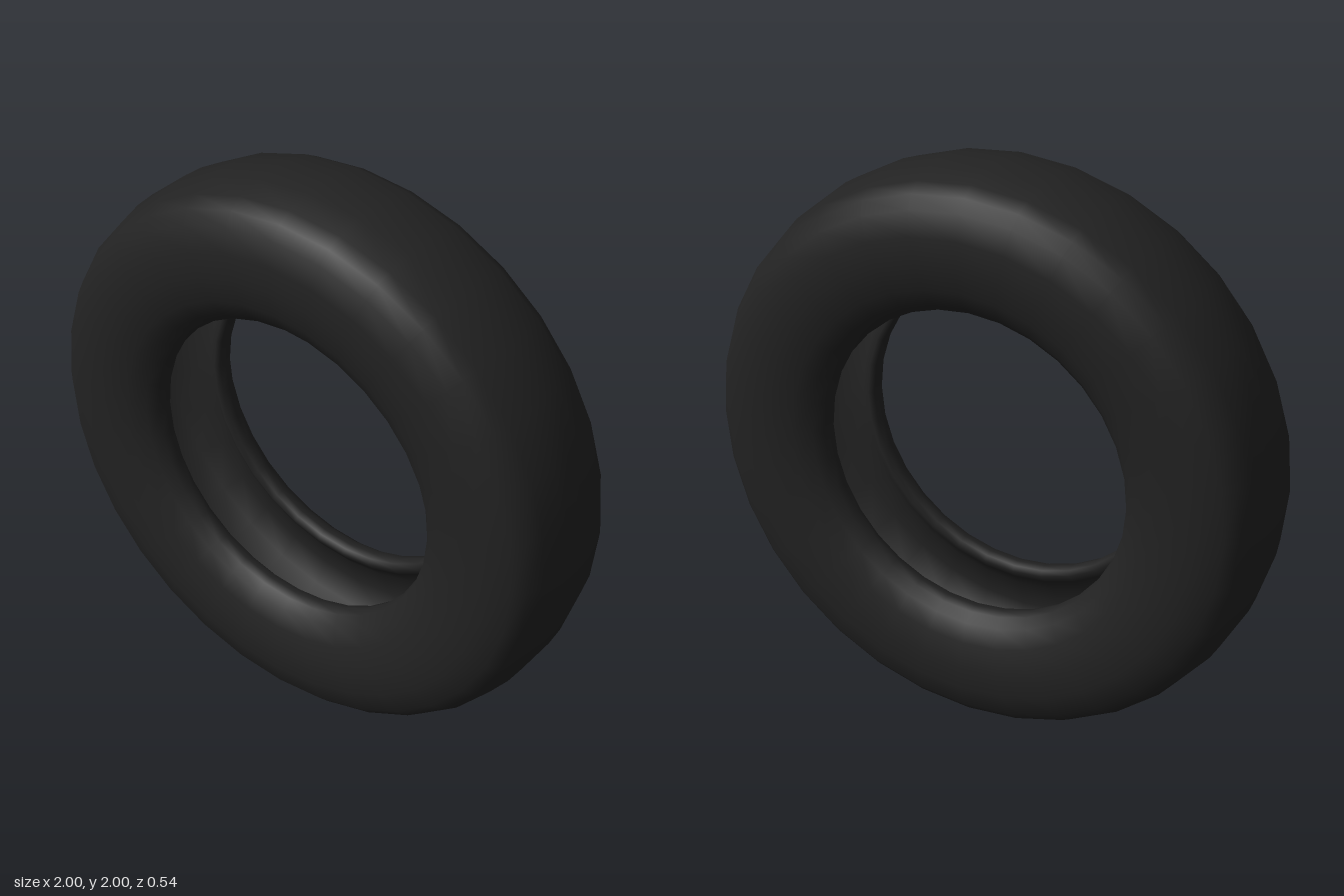
import * as THREE from 'three';

export function createModel() {
  const rubber = new THREE.MeshStandardMaterial({ color: 0x222222 });
  rubber.name = 'black rubber';

  // Half cross-section [radius, depth]: inner liner, bead lip, sidewall, tread
  const half = [
    [0.92, 0], [0.91, 0.1], [0.86, 0.18], [0.76, 0.21], [0.66, 0.185], [0.605, 0.14],
    [0.575, 0.122], [0.558, 0.135], [0.552, 0.16], [0.56, 0.19],
    [0.59, 0.222], [0.65, 0.254], [0.74, 0.272], [0.83, 0.27],
    [0.91, 0.248], [0.95, 0.212], [0.976, 0.165], [0.995, 0.075],
  ];
  const profile = [
    ...half.map(([r, z]) => new THREE.Vector2(r, -z)),
    new THREE.Vector2(1, 0),
    ...half.slice().reverse().map(([r, z]) => new THREE.Vector2(r, z)),
  ];

  // Hollow ring, open toward the hub between its two lips
  const geometry = new THREE.LatheGeometry(profile, 32);
  geometry.rotateX(Math.PI / 2);
  const tire = new THREE.Mesh(geometry, rubber);
  tire.name = 'tire';
  tire.position.y = 1;

  const group = new THREE.Group();
  group.name = 'wheelTire';
  group.add(tire);
  return group;
}
